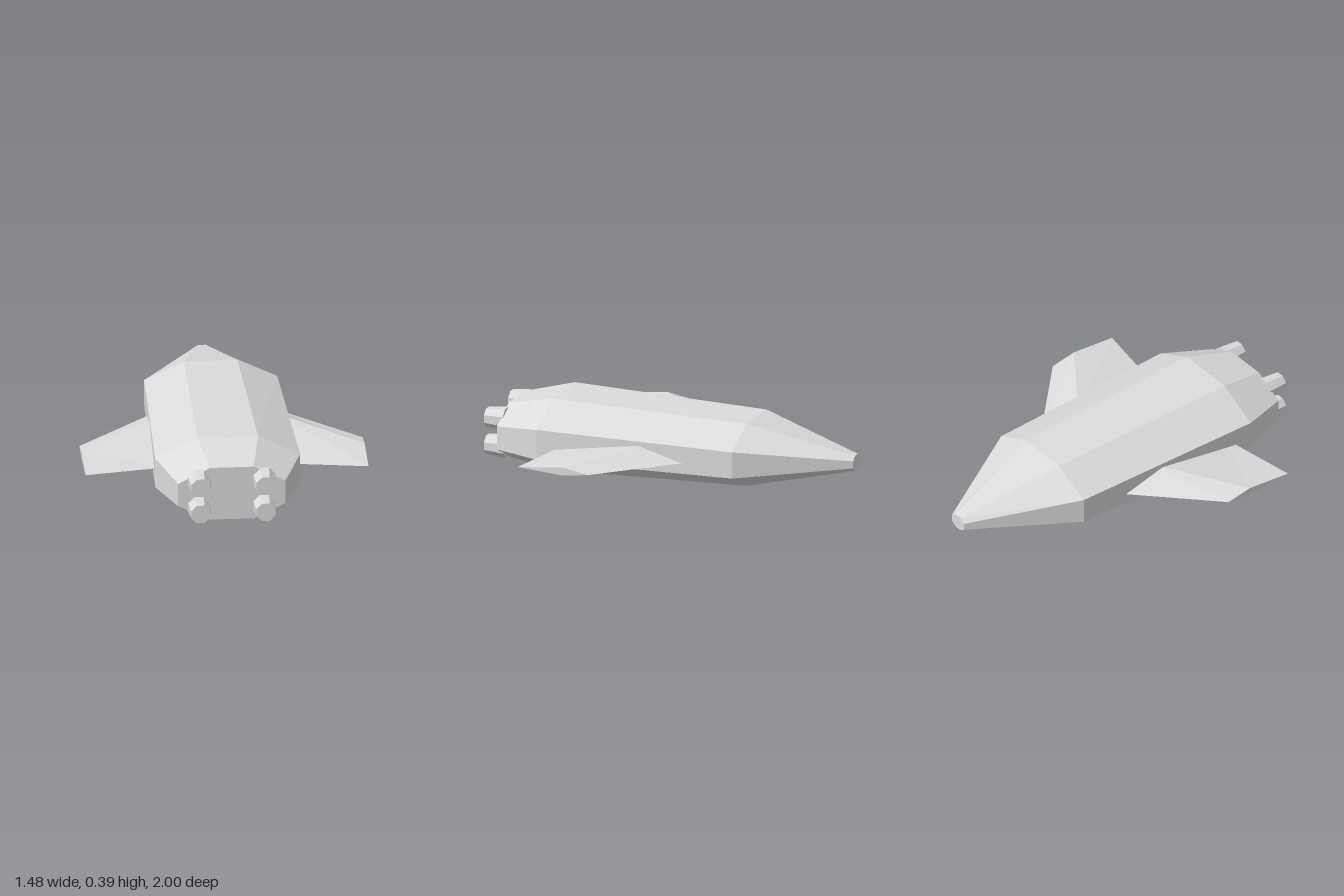
import * as THREE from 'three';

// Skin a list of closed rings (each counter-clockwise seen from the last ring's side) and cap both ends.
function loft(rings) {
  const pos = [];
  const tri = (a, b, c) => pos.push(...a, ...b, ...c);
  const n = rings[0].length;
  for (let r = 0; r < rings.length - 1; r++) {
    for (let i = 0; i < n; i++) {
      const j = (i + 1) % n;
      const a = rings[r][i], b = rings[r][j], c = rings[r + 1][j], d = rings[r + 1][i];
      tri(a, b, c);
      tri(a, c, d);
    }
  }
  const first = rings[0], last = rings[rings.length - 1];
  for (let i = 1; i < n - 1; i++) {
    tri(first[0], first[i + 1], first[i]);
    tri(last[0], last[i], last[i + 1]);
  }
  const geo = new THREE.BufferGeometry();
  geo.setAttribute('position', new THREE.Float32BufferAttribute(pos, 3));
  geo.computeVertexNormals();
  return geo;
}

// Eight-sided hull section: flat top and bottom, upright sides, bevelled corners
function hullRing([z, flat, side, bottom, sideLow, sideHigh, top]) {
  return [
    [side, sideLow, z], [side, sideHigh, z], [flat, top, z], [-flat, top, z],
    [-side, sideHigh, z], [-side, sideLow, z], [-flat, bottom, z], [flat, bottom, z],
  ];
}

// Diamond wing section at a given x, wound to face outward on either side (s = 1 left, -1 right)
function wingRing(s, x, zFront, zRidge, zRear, low, high) {
  const [first, second] = s > 0 ? [high, low] : [low, high];
  return [[s * x, 0.178, zFront], [s * x, first, zRidge], [s * x, 0.178, zRear], [s * x, second, zRidge]];
}

export function createModel() {
  const model = new THREE.Group();
  const grey = new THREE.MeshStandardMaterial({ color: 0xdcdcdc });
  grey.name = 'hullGrey';
  grey.flatShading = true;

  const add = (name, geo) => {
    const mesh = new THREE.Mesh(geo, grey);
    mesh.name = name;
    model.add(mesh);
    return mesh;
  };

  // Hull from nose (-z) to stern (+z)
  add('hull', loft([
    [-1.0, 0.02, 0.05, 0.137, 0.158, 0.196, 0.218],
    [-0.44, 0.14, 0.347, 0.026, 0.123, 0.265, 0.363],
    [0.64, 0.158, 0.378, 0, 0.113, 0.275, 0.386],
    [0.902, 0.115, 0.28, 0.031, 0.113, 0.238, 0.322],
  ].map(hullRing)));

  // Swept wings, their roots sunk into the hull
  for (const [name, s] of [['leftWing', 1], ['rightWing', -1]]) {
    add(name, loft([
      wingRing(s, 0.3, -0.22, 0.03, 0.53, 0.123, 0.253),
      wingRing(s, 0.738, 0.21, 0.35, 0.603, 0.16, 0.203),
    ]));
  }

  // Four tapered eight-sided thrusters
  for (const x of [-0.17, 0.17]) {
    for (const y of [0.103, 0.25]) {
      const geo = new THREE.CylinderGeometry(0.053, 0.064, 0.11, 8, 1, false, Math.PI / 8);
      geo.rotateX(Math.PI / 2);
      add('thruster', geo).position.set(x, y, 0.945);
    }
  }
  return model;
}
